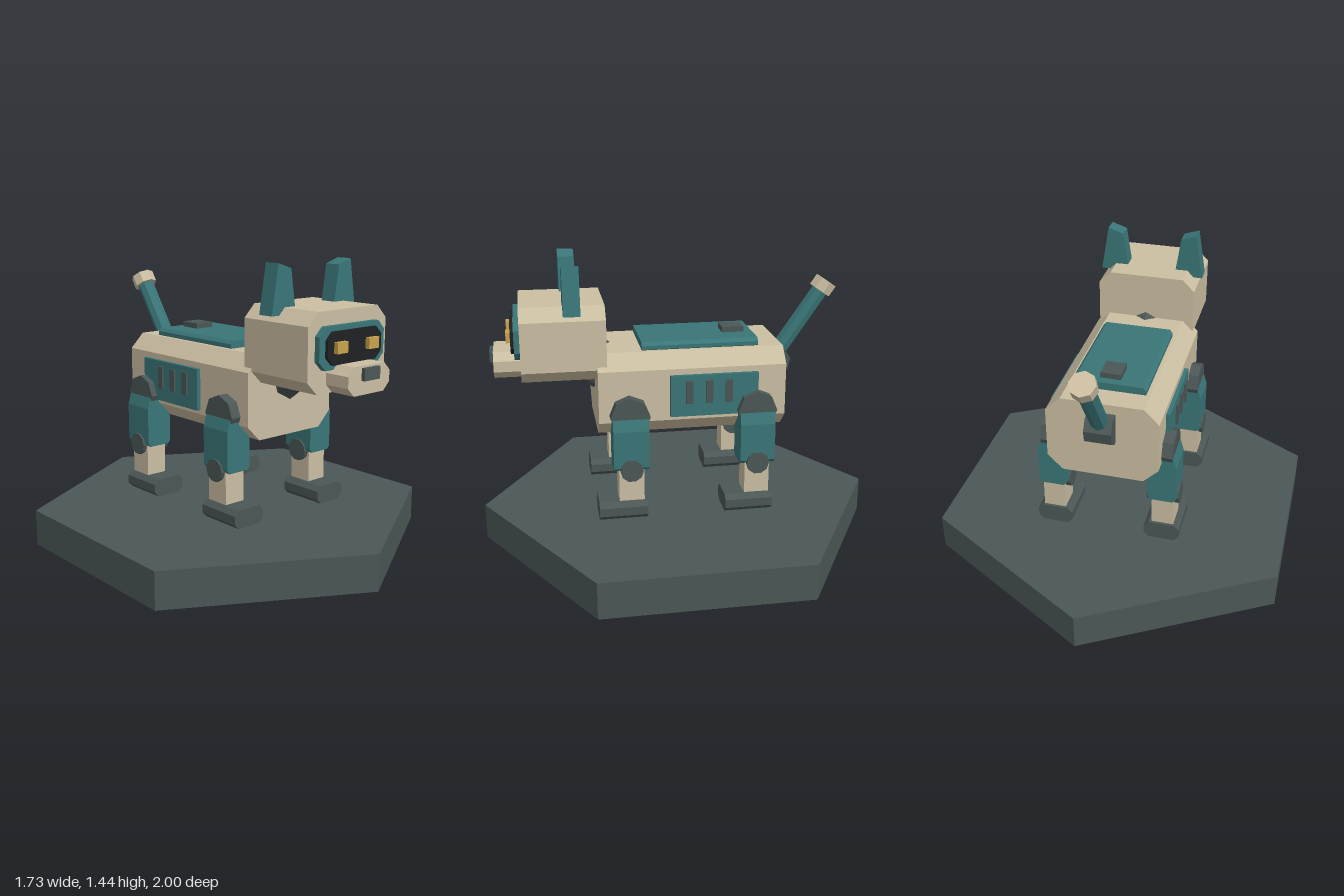
import * as THREE from 'three';

const material = (name, color) => {
  const m = new THREE.MeshStandardMaterial({ color });
  m.name = name;
  return m;
};

export function createModel() {
  const cream = material('cream shell', 0xcbbea2);
  const teal = material('teal panel', 0x3a7678);
  const grey = material('slate joint', 0x4b5756);
  const black = material('black visor', 0x202122);
  const amber = material('amber eye', 0xc9a24e);

  const model = new THREE.Group();
  model.name = 'robotDog';

  const add = (parent, name, geometry, mat, x = 0, y = 0, z = 0) => {
    const mesh = new THREE.Mesh(geometry, mat);
    mesh.name = name;
    mesh.position.set(x, y, z);
    parent.add(mesh);
    return mesh;
  };

  // Outline in x and y, extruded along z and centred on z = 0
  const prism = (points, depth) => {
    const shape = new THREE.Shape(points.map(([x, y]) => new THREE.Vector2(x, y)));
    return new THREE.ExtrudeGeometry(shape, { depth, bevelEnabled: false }).translate(0, 0, -depth / 2);
  };

  // Block whose four long edges (along z) are cut off
  const cutBlock = (w, h, d, c) => {
    const a = w / 2, b = h / 2;
    return prism([[-a + c, -b], [a - c, -b], [a, -b + c], [a, b - c],
      [a - c, b], [-a + c, b], [-a, b - c], [-a, -b + c]], d);
  };

  const box = (w, h, d) => new THREE.BoxGeometry(w, h, d);

  // Faceted cylinder along y
  const rod = (r, h, sides = 8) => {
    const g = new THREE.CylinderGeometry(r, r, h, sides).toNonIndexed();
    g.computeVertexNormals();
    return g;
  };
  // Faceted cylinder along x
  const axle = (r, h, sides = 8) => rod(r, h, sides).rotateZ(Math.PI / 2);

  // Hexagonal stand
  add(model, 'stand', rod(1, 0.18, 6), grey, 0, 0.09, 0);

  // Body, back plate and neck
  add(model, 'body', cutBlock(0.54, 0.4, 0.91, 0.073), cream, 0, 0.816, -0.03);
  add(model, 'backPlate', cutBlock(0.36, 0.05, 0.57, 0.016), teal, 0, 1.028, -0.08);
  add(model, 'backSwitch', box(0.1, 0.04, 0.11), grey, 0, 1.06, -0.268);
  const neck = add(model, 'neck', rod(0.118, 0.36), grey, 0, 0.95, 0.45);
  neck.rotation.x = Math.atan2(0.8, 0.6);

  // Head with face
  const head = new THREE.Group();
  head.name = 'head';
  model.add(head);
  add(head, 'skull', cutBlock(0.5, 0.36, 0.4, 0.06), cream, 0, 1.069, 0.578);
  add(head, 'visorFrame', cutBlock(0.416, 0.19, 0.03, 0.04), teal, 0, 1.09, 0.79);
  add(head, 'visor', cutBlock(0.344, 0.146, 0.02, 0.035), black, 0, 1.09, 0.811);
  add(head, 'snout', cutBlock(0.268, 0.128, 0.13, 0.038), cream, 0, 0.954, 0.841);
  add(head, 'nose', box(0.1, 0.056, 0.025), grey, 0, 0.981, 0.912);

  for (const s of [1, -1]) {
    const side = s > 0 ? 'left' : 'right';
    add(head, side + 'Eye', box(0.066, 0.05, 0.024), amber, s * 0.101, 1.094, 0.83);

    // Ear leaning outwards, with a slanted top
    const ear = [[0.122, 1.215], [0.268, 1.215], [0.231, 1.443], [0.153, 1.418]].map(([x, y]) => [s * x, y]);
    add(head, side + 'Ear', prism(ear, 0.08), teal, 0, 0, 0.535);

    // Flank panel with three vents
    add(model, side + 'FlankPanel', box(0.03, 0.204, 0.428), teal, s * 0.275, 0.812, -0.131);
    for (const z of [-0.008, -0.104, -0.2]) {
      add(model, side + 'Vent', box(0.02, 0.112, 0.034), grey, s * 0.29, 0.831, z);
    }

    // Front and hind legs
    for (const [end, z] of [['Front', 0.28], ['Hind', -0.337]]) {
      const leg = new THREE.Group();
      leg.name = side + end + 'Leg';
      leg.position.set(s * 0.273, 0, z);
      model.add(leg);
      add(leg, 'hip', axle(0.096, 0.1), grey, 0, 0.729, 0);
      const thigh = [[-0.069, 0.48], [-0.055, 0.464], [0.055, 0.464], [0.069, 0.48],
        [0.069, 0.665], [0.052, 0.72], [-0.052, 0.72], [-0.069, 0.665]];
      add(leg, 'thigh', prism(thigh, 0.171), teal);
      add(leg, 'knee', axle(0.056, 0.158, 10), grey, 0, 0.468, 0);
      add(leg, 'shin', box(0.11, 0.18, 0.122), cream, s * 0.003, 0.38, 0);
      add(leg, 'foot', cutBlock(0.176, 0.09, 0.235, 0.024), grey, 0, 0.263, 0.043);
    }
  }

  // Tail tilted up and backwards
  const tail = new THREE.Group();
  tail.name = 'tail';
  tail.position.set(0, 0.893, -0.486);
  tail.rotation.x = -0.6;
  model.add(tail);
  add(tail, 'tailJoint', axle(0.08, 0.13), grey);
  add(tail, 'tailRod', rod(0.043, 0.4), teal, 0, 0.22, 0);
  add(tail, 'tailTip', rod(0.061, 0.06), cream, 0, 0.447, 0);

  return model;
}
